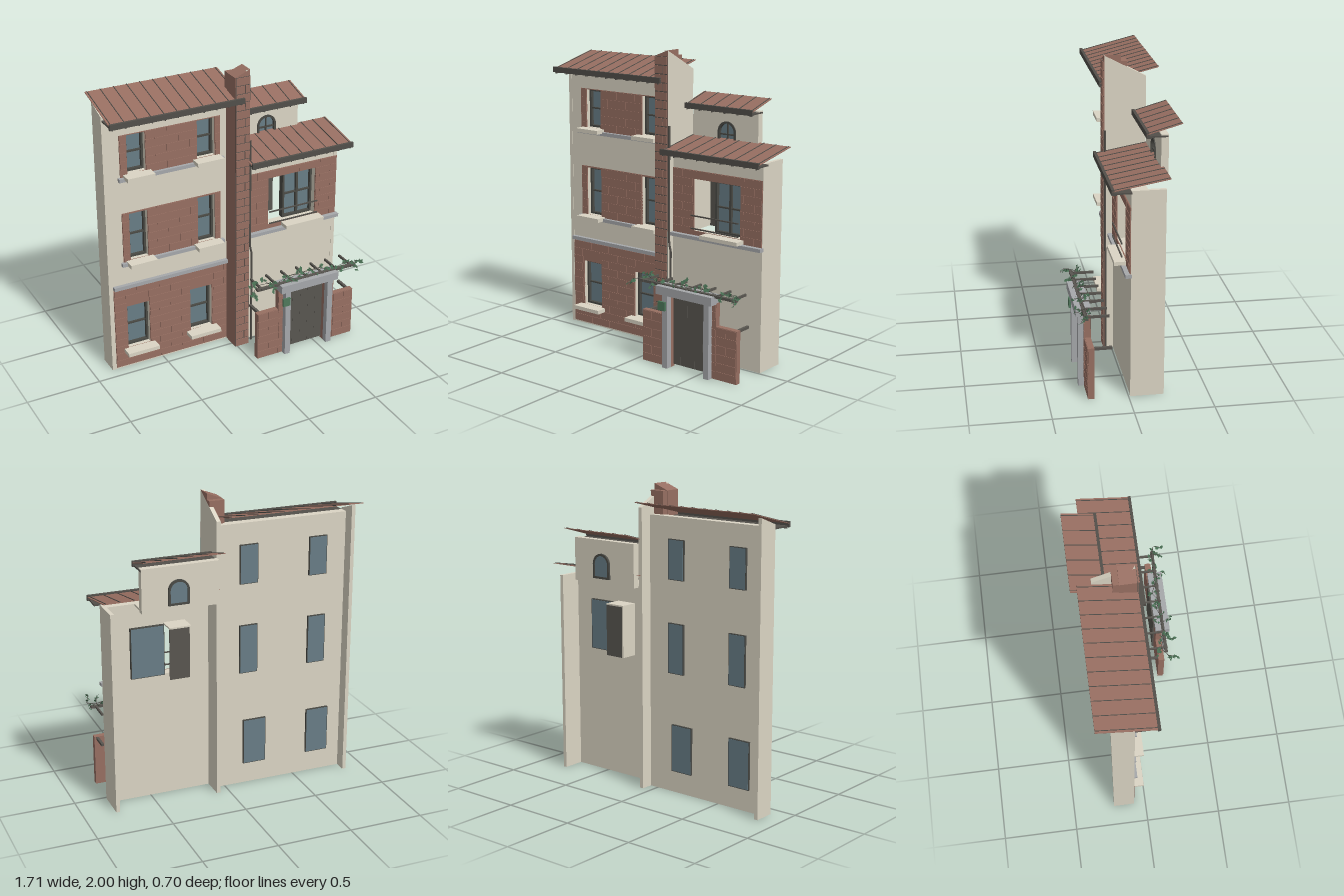
import * as THREE from 'three';

const mat = (name, color) => { const m = new THREE.MeshStandardMaterial({ color }); m.name = name; return m; };

export function createModel() {
  const root = new THREE.Group();
  root.name = 'townhouses';
  const plaster = mat('cream plaster', 0xdbd5c4), brick = mat('red brick', 0x976f62), roofing = mat('roof red', 0x976e61),
    stone = mat('grey stone', 0xa6a8ab), iron = mat('dark iron', 0x524f4a), frame = mat('window frame', 0x4a4a45),
    glass = mat('blue glass', 0x687d86), timber = mat('dark timber', 0x595650), green = mat('sign green', 0x4f785b),
    leaf = mat('leaf green', 0x466b50);
  leaf.side = THREE.DoubleSide;

  const add = (name, geo, m, parent = root) => {
    const mesh = new THREE.Mesh(geo, m);
    mesh.name = name;
    parent.add(mesh);
    return mesh;
  };
  const box = (name, m, x0, x1, y0, y1, z0, z1, parent = root) => {
    const b = add(name, new THREE.BoxGeometry(x1 - x0, y1 - y0, z1 - z0), m, parent);
    b.position.set((x0 + x1) / 2, (y0 + y1) / 2, (z0 + z1) / 2);
    return b;
  };
  const group = (name) => { const g = new THREE.Group(); g.name = name; root.add(g); return g; };
  const outline = (C, [x0, x1, y0, y1]) => new C([[x0, y0], [x1, y0], [x1, y1], [x0, y1]].map(p => new THREE.Vector2(...p)));
  const extrude = (shape, z0, z1) => new THREE.ExtrudeGeometry(shape, { depth: z1 - z0, bevelEnabled: false, curveSegments: 10 }).translate(0, 0, z0);

  // Flat wall with rectangular openings
  const wall = (name, m, rect, holes, z0, z1, parent) => {
    const s = outline(THREE.Shape, rect);
    holes.forEach(h => s.holes.push(outline(THREE.Path, h)));
    return add(name, extrude(s, z0, z1), m, parent);
  };

  // Brick facing: backing panel plus staggered bricks that stop at openings
  const brickwork = (name, [x0, x1, y0, y1], holes, z0, z1, length = 0.16, joint = brick) => {
    const g = group(name), rows = Math.max(1, Math.round((y1 - y0) / 0.056)), h = (y1 - y0) / rows, gap = 0.003;
    wall('brickBacking', brick, [x0, x1, y0, y1], holes, z0, z1 - 0.006, g);
    wall('brickJoints', joint, [x0, x1, y0, y1], holes, z1 - 0.006, z1 - 0.004, g);
    for (let r = 0; r < rows; r++) {
      const a = y0 + r * h, b = a + h;
      let spans = [[x0, x1]];
      holes.filter(q => q[2] < b && q[3] > a).forEach(q => {
        spans = spans.flatMap(([s, e]) => [[s, Math.min(e, q[0])], [Math.max(s, q[1]), e]].filter(t => t[1] - t[0] > 0.01));
      });
      for (let x = x0 - (r % 2) * length / 2; x < x1; x += length)
        spans.forEach(([s, e]) => {
          const l = Math.max(x, s) + gap, k = Math.min(x + length, e) - gap;
          if (k - l > 0.006) box('brick', brick, l, k, a + gap, b - gap, z1 - 0.005, z1, g);
        });
    }
  };

  // Glazed window set deep in its opening, z is the rear plane
  const window = ([x0, x1, y0, y1], z, mullions = [], rail = (y0 + y1) / 2) => {
    const g = group('window'), t = 0.014;
    g.position.z = z;
    box('glassPane', glass, x0 + 0.004, x1 - 0.004, y0 + 0.004, y1 - 0.004, 0, 0.022, g);
    wall('windowFrame', frame, [x0, x1, y0, y1], [[x0 + t, x1 - t, y0 + t, y1 - t]], 0.018, 0.045, g);
    wall('backTrim', frame, [x0, x1, y0, y1], [[x0 + 0.005, x1 - 0.005, y0 + 0.005, y1 - 0.005]], 0.001, 0.018, g);
    box('windowRail', frame, x0 + t, x1 - t, rail - 0.005, rail + 0.005, 0.02, 0.038, g);
    mullions.forEach(x => box('mullion', frame, x - 0.008, x + 0.008, y0 + t, y1 - t, 0.02, 0.04, g));
  };

  // Side wall drawn as a (z, y) profile
  const fin = (name, x0, x1, pts) => {
    const s = new THREE.Shape(pts.map(([z, y]) => new THREE.Vector2(-z, y)));
    add(name, extrude(s, 0, x1 - x0).rotateY(Math.PI / 2), plaster).position.x = x0;
  };

  // Sloping roof sheet with standing ribs and a front gutter
  const roof = (name, x0, x1, zf, yf, zb, yb, ribs, deckBack) => {
    const g = group(name), sheet = new THREE.Group(), len = Math.hypot(zf - zb, yb - yf);
    sheet.name = 'roofSheet';
    sheet.position.set((x0 + x1) / 2, (yf + yb) / 2, (zf + zb) / 2);
    sheet.rotation.x = Math.atan2(yb - yf, zf - zb);
    g.add(sheet);
    const w = x1 - x0;
    box('roofPanel', roofing, -w / 2, w / 2, -0.002, 0.002, -len / 2, len / 2, sheet);
    for (let i = 0; i < ribs; i++) {
      const x = -w / 2 + 0.015 + i * (w - 0.03) / (ribs - 1);
      box('roofRib', iron, x - 0.002, x + 0.002, 0.001, 0.006, -len / 2, len / 2, sheet);
    }
    box('gutterFace', iron, x0, x1, yf - 0.022, yf + 0.014, zf - 0.012, zf + 0.006, g);
    box('eavesBoard', iron, x0 + 0.01, x1 - 0.01, yf - 0.022, yf - 0.012, deckBack, zf - 0.01, g);
    for (let i = 0; i < ribs; i++) {
      const x = x0 + 0.02 + i * (w - 0.04) / (ribs - 1);
      box('gutterBracket', iron, x - 0.003, x + 0.003, yf - 0.03, yf - 0.02, zf - 0.03, zf, g);
    }
  };

  // Left house: recessed wall, three storeys of windows, facings and sills
  const floors = [
    { panel: [-0.84, -0.015, 0.01, 0.6], xs: [[-0.75, -0.59], [-0.29, -0.13]], y: [0.145, 0.46] },
    { panel: [-0.76, -0.06, 0.79, 1.14], xs: [[-0.71, -0.585], [-0.225, -0.1]], y: [0.8, 1.13] },
    { panel: [-0.76, -0.06, 1.39, 1.675], xs: [[-0.71, -0.585], [-0.225, -0.1]], y: [1.41, 1.67] },
  ];
  floors.forEach(f => { f.holes = f.xs.map(x => [...x, ...f.y]); });
  wall('leftHouseWall', plaster, [-0.868, 0.065, 0, 1.81], floors.flatMap(f => f.holes), -0.14, -0.082);
  floors.forEach((f, i) => {
    brickwork('leftBrickFacing', f.panel, f.holes, -0.084, -0.074);
    f.holes.forEach(h => {
      window(h, -0.155);
      box('windowSill', plaster, h[0] - 0.032, h[1] + 0.032, h[2] - 0.026, h[2], -0.1, 0);
    });
    if (i) box('stoneBand', stone, -0.775, -0.04, f.panel[2] - 0.022, f.panel[2] + 0.002, -0.085, -0.055);
  });
  box('stoneBand', stone, -0.84, -0.015, 0.605, 0.63, -0.085, -0.055);
  fin('leftEndWall', -0.87, -0.845, [[-0.08, 0], [-0.08, 1.82], [-0.22, 1.87], [-0.22, 0]]);
  roof('leftRoof', -0.875, 0.04, 0.065, 1.81, -0.31, 1.903, 11, -0.085);

  // Party wall, brick pilaster and chimney
  fin('partyWall', 0.06, 0.088, [[0.044, 0], [0.044, 1.998], [-0.22, 1.86], [-0.22, 0]]);
  brickwork('brickPilaster', [-0.015, 0.087, 0, 1.96], [], -0.1, 0.054, 0.13, iron);
  const stack = new THREE.Shape([[-0.018, 1.8], [0.087, 1.8], [0.087, 2], [-0.018, 1.96]].map(p => new THREE.Vector2(...p)));
  add('chimney', extrude(stack, -0.062, 0.045), brick);

  // Right house: recessed wall, brick upper storey, window bay and sills
  const bay = [0.26, 0.62, 0.85, 1.19];
  wall('rightHouseWall', plaster, [0.085, 0.785, 0, 1.348], [bay], -0.075, -0.012);
  brickwork('rightBrickFacing', [0.09, 0.785, 0.82, 1.245], [bay], -0.014, -0.003);
  box('stoneBand', stone, 0.09, 0.795, 0.797, 0.82, -0.014, 0.025);
  box('windowSill', plaster, 0.36, 0.65, 0.824, 0.848, -0.05, 0.07);
  window([0.395, 0.62, 0.85, 1.19], -0.097, [0.508], 1.02);
  box('bayBackPanel', timber, 0.26, 0.395, 0.85, 1.19, -0.193, -0.185);
  box('baySide', plaster, 0.25, 0.26, 0.85, 1.19, -0.193, -0.06);
  box('bayTop', plaster, 0.25, 0.395, 1.19, 1.2, -0.193, -0.06);
  [0.87, 0.955].forEach(y => box('guardRail', iron, 0.255, 0.625, y - 0.004, y + 0.004, 0.014, 0.022));
  fin('rightEndWall', 0.762, 0.787, [[-0.01, 0], [-0.01, 1.35], [-0.222, 1.35], [-0.222, 0]]);
  roof('rightLowerRoof', 0.075, 0.832, 0.11, 1.365, -0.24, 1.428, 9, -0.01);

  // Set-back attic with arched window
  const arch = (C, r, y0) => {
    const p = new C();
    p.moveTo(0.36 - r, y0);
    p.lineTo(0.36 + r, y0);
    p.lineTo(0.36 + r, 1.472);
    p.absarc(0.36, 1.472, r, 0, Math.PI, false);
    p.lineTo(0.36 - r, y0);
    return p;
  };
  const attic = outline(THREE.Shape, [0.088, 0.6, 1.345, 1.63]);
  attic.holes.push(arch(THREE.Path, 0.068, 1.38));
  add('atticWall', extrude(attic, -0.268, -0.222), plaster);
  const archRing = arch(THREE.Shape, 0.07, 1.378);
  archRing.holes.push(arch(THREE.Path, 0.056, 1.392));
  add('archFrame', extrude(archRing, -0.282, -0.215), frame);
  add('archGlass', extrude(arch(THREE.Shape, 0.06, 1.386), -0.278, -0.235), glass);
  box('archRail', frame, 0.3, 0.42, 1.452, 1.461, -0.236, -0.222);
  box('archMullion', frame, 0.356, 0.364, 1.39, 1.53, -0.236, -0.224);
  box('atticLedge', plaster, 0.088, 0.6, 1.355, 1.37, -0.222, -0.13);
  roof('rightUpperRoof', 0.08, 0.612, -0.135, 1.635, -0.35, 1.696, 6, -0.265);

  // Drainpipe with an offset bend
  const pipe = new THREE.CurvePath();
  const bends = [[0.11, 0.02], [0.11, 0.7], [0.096, 0.75], [0.096, 1.52]].map(([x, y]) => new THREE.Vector3(x, y, 0.042));
  bends.slice(1).forEach((p, i) => pipe.add(new THREE.LineCurve3(bends[i], p)));
  add('drainpipe', new THREE.TubeGeometry(pipe, 40, 0.007, 8), iron);

  // Garden wall and gate
  brickwork('gardenWallLeft', [0.045, 0.2, 0, 0.345], [], 0.213, 0.255);
  brickwork('gardenWallRight', [0.63, 0.787, 0, 0.345], [], 0.213, 0.255);
  brickwork('gateSurround', [0.2, 0.275, 0, 0.497], [], 0.213, 0.255);
  brickwork('gateSurround', [0.56, 0.63, 0, 0.497], [], 0.213, 0.255);
  for (let i = 0; i < 5; i++) box('gatePlank', timber, 0.272 + i * 0.058, 0.3295 + i * 0.058, 0.015, 0.497, 0.202, 0.222);
  [0.235, 0.56].forEach(x => box('gatePost', stone, x, x + 0.04, 0, 0.5, 0.25, 0.29));
  box('gateLintel', stone, 0.195, 0.63, 0.49, 0.545, 0.21, 0.308);
  box('plaque', green, 0.21, 0.265, 0.385, 0.443, 0.29, 0.303);

  // Pergola beams and rafters
  box('pergolaBeam', timber, 0.03, 0.79, 0.535, 0.552, 0.25, 0.272);
  box('pergolaRail', timber, 0.28, 0.55, 0.546, 0.55, 0.198, 0.202);
  for (let i = 0; i < 7; i++) box('rafter', timber, 0.06 + i * 0.115, 0.072 + i * 0.115, 0.536, 0.551, 0.115, 0.275);
  [0.062, 0.757].forEach(x => box('wallBracket', timber, x, x + 0.018, 0.325, 0.342, 0.1, 0.215));

  // Climbing vine: wandering stem, side twigs and leaves
  let seed = 7;
  const rnd = (a, b) => { seed = (seed * 16807) % 2147483647; return a + (b - a) * seed / 2147483647; };
  const vine = group('vine');
  const tube = (pts, r, n) => add('vineStem', new THREE.TubeGeometry(new THREE.CatmullRomCurve3(pts), n, r, 4), iron, vine);
  const stem = [];
  for (let i = 0; i <= 14; i++) stem.push(new THREE.Vector3(i * 0.058, 0.56 + rnd(-0.012, 0.014), 0.25 + rnd(-0.03, 0.03)));
  tube(stem, 0.002, 42);
  const leafGeo = new THREE.CircleGeometry(0.017, 4).scale(1, 0.6, 1);
  stem.forEach(p => {
    for (let k = 0; k < 2; k++) {
      const tip = p.clone().add(new THREE.Vector3(rnd(-0.04, 0.045), rnd(-0.05, 0.028), rnd(-0.045, 0.07)));
      const mid = p.clone().lerp(tip, 0.5).add(new THREE.Vector3(0, 0.01, 0));
      tube([p, mid, tip], 0.0014, 4);
      for (let j = 0; j < 4; j++) {
        const l = add('vineLeaf', leafGeo, leaf, vine);
        l.position.copy(p).lerp(tip, 0.4 + j * 0.2).add(new THREE.Vector3(rnd(-0.012, 0.012), rnd(-0.006, 0.006), rnd(-0.012, 0.012)));
        l.rotation.set(rnd(-1.6, -0.4), rnd(-0.6, 0.6), rnd(0, 3));
      }
    }
  });
  return root;
}
